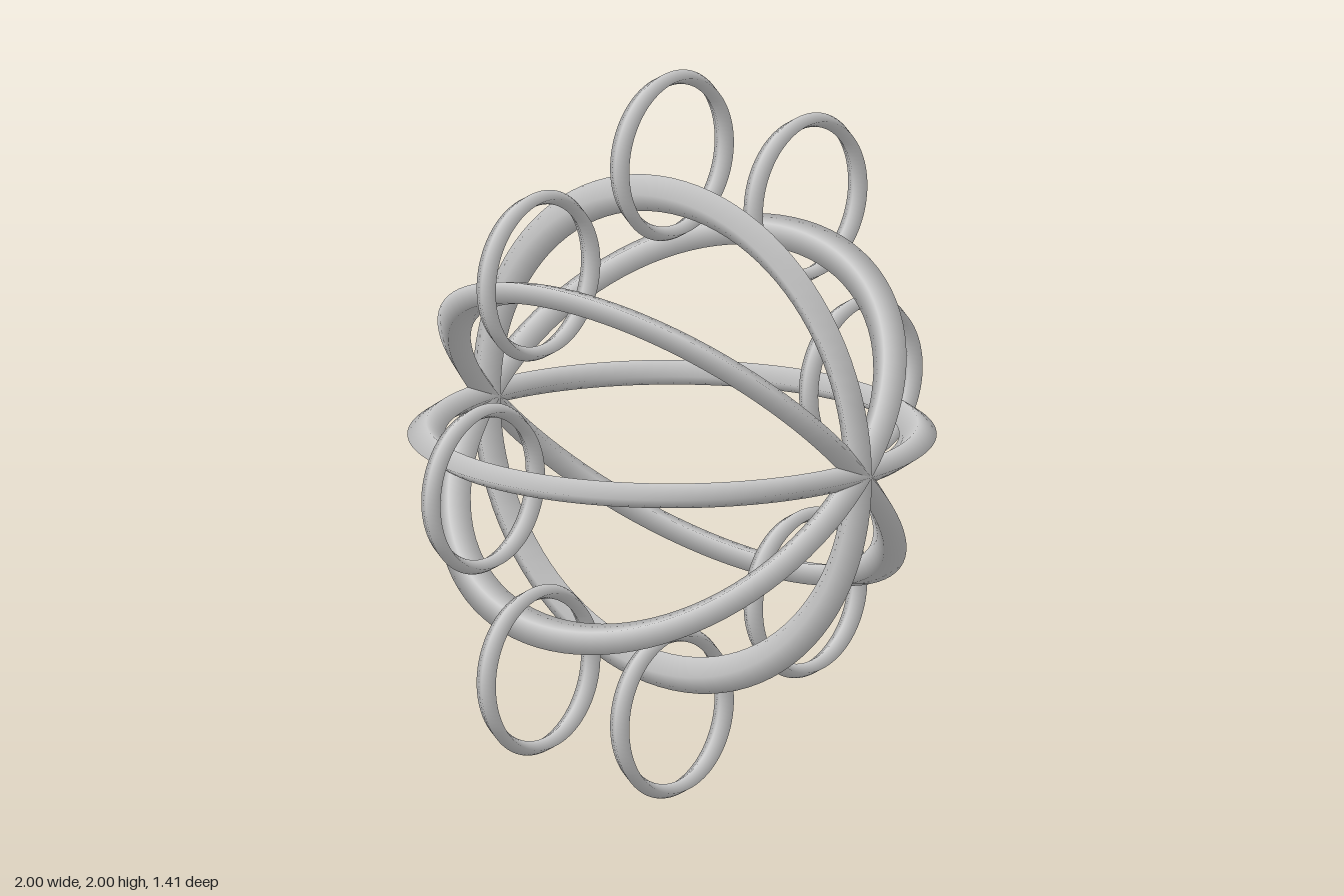
import * as THREE from 'three';

const material = new THREE.MeshStandardMaterial({ color: 0xcccccc });

// Ring with a smooth-shaded diamond cross-section, lying in the XY plane
function ringGeometry(outer, radialHalf, halfWidth) {
  const geometry = new THREE.TorusGeometry(outer - radialHalf, radialHalf, 4, 96);
  return geometry.scale(1, 1, halfWidth / radialHalf);
}

export function createModel() {
  const model = new THREE.Group();
  model.name = 'ringSphere';

  const centre = new THREE.Group();
  centre.name = 'rings';
  centre.position.y = 1;
  model.add(centre);

  // Four great rings that all cross on the front-to-back axis
  const largeRing = ringGeometry(0.706, 0.05, 0.034).rotateY(Math.PI / 2);
  for (let i = 0; i < 4; i++) {
    const ring = new THREE.Mesh(largeRing, material);
    ring.name = `meridianRing${i + 1}`;
    ring.rotation.z = (i * Math.PI) / 4;
    centre.add(ring);
  }

  // Eight small upright rings, linked around the outside
  const smallRing = ringGeometry(0.232, 0.0195, 0.034);
  for (let i = 0; i < 8; i++) {
    const angle = (i * Math.PI) / 4;
    const ring = new THREE.Mesh(smallRing, material);
    ring.name = `outerRing${i + 1}`;
    ring.position.set(0.768 * Math.cos(angle), 0.768 * Math.sin(angle), 0);
    centre.add(ring);
  }

  return model;
}
